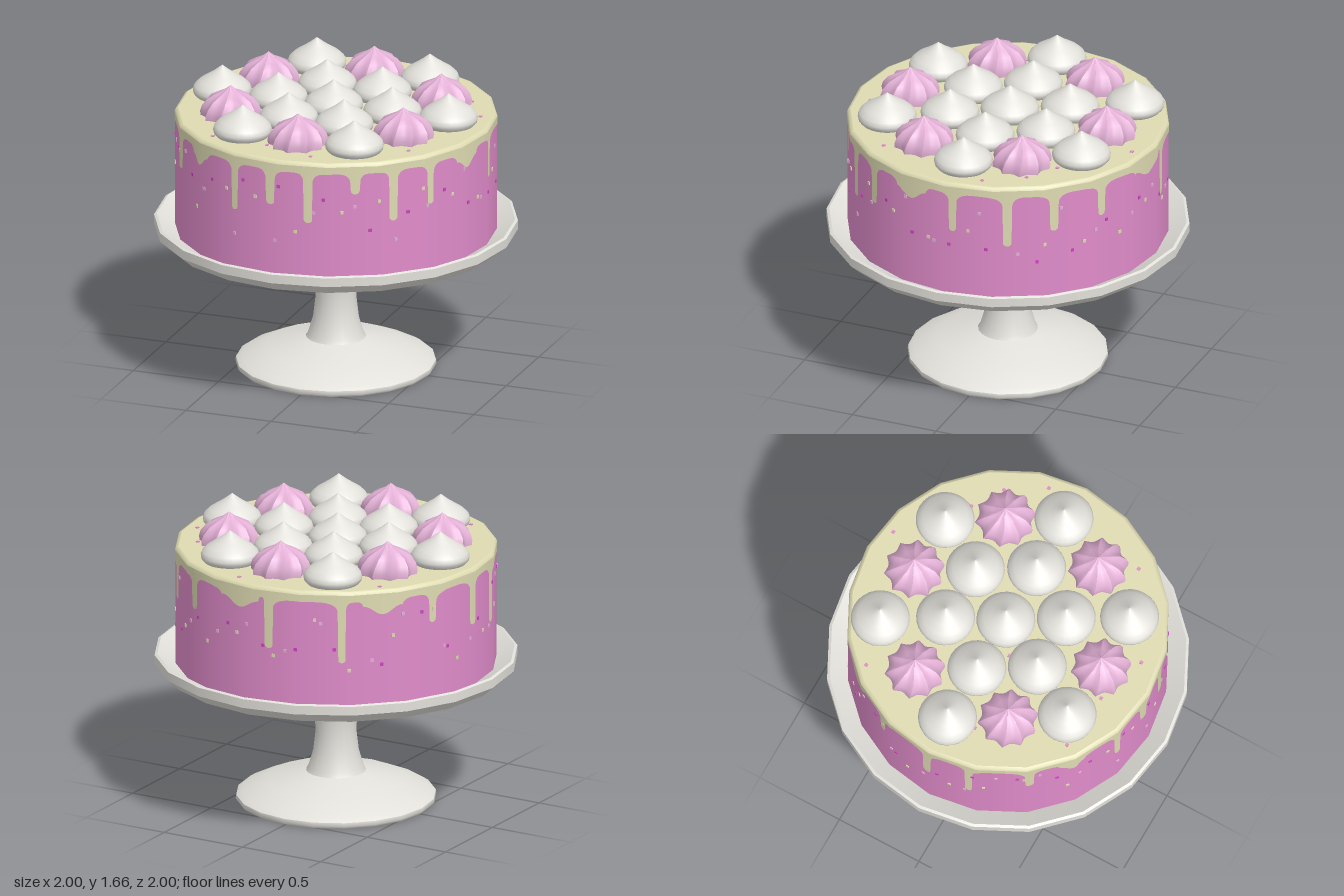
import * as THREE from 'three';
import { toCreasedNormals } from 'three/addons/utils/BufferGeometryUtils.js';

const SIDES = 20, CAKE_R = 0.885, DEG = Math.PI / 180;
const STEP = Math.PI * 2 / SIDES;

const material = (name, color, extra = {}) => Object.assign(new THREE.MeshStandardMaterial({ color, ...extra }), { name });

// Lathe from [radius, height, sharp] points; sharp points are doubled to keep the edge crisp
function lathe(points, segments = SIDES) {
  const profile = [];
  for (const [r, y, sharp] of points) {
    profile.push(new THREE.Vector2(r, y));
    if (sharp) profile.push(new THREE.Vector2(r, y));
  }
  return new THREE.LatheGeometry(profile, segments);
}

// Distance from the axis to the many-sided cake wall at an angle
function wallRadius(angle, r = CAKE_R) {
  const local = ((angle % STEP) + STEP) % STEP - STEP / 2;
  return r * Math.cos(STEP / 2) / Math.cos(local);
}

// Icing drips: angle in degrees, lowest height, half width in degrees
const DRIPS = [
  [10.8, 1.13, 1.6], [27.8, 1.3, 1.7], [42, 1.13, 1.6], [57, 1.19, 1.4], [76, 1.33, 6],
  [93, 1.19, 1.3], [113, 1.12, 1.7], [130, 1.2, 1.6], [149, 1.23, 1.5], [174, 1.34, 8],
  [186, 1.13, 1.6], [213, 1.07, 1.4], [228, 1.34, 7], [248, 1.25, 1.4], [269, 1.16, 1.5],
  [285, 1.1, 1.3], [307, 1.23, 1.5], [323, 1.33, 4.5], [342, 1.15, 1.3], [356.7, 1.22, 1.8],
];

// Lower edge of the icing: round-ended drips joined by arches
function dripEdge(deg) {
  let before = -Infinity, after = Infinity;
  for (const [a, low, w] of DRIPS) {
    for (const turn of [-360, 0, 360]) {
      const d = deg - a - turn;
      if (Math.abs(d) <= w) {
        if (w > 3) return low + 0.025 * (1 - Math.cos(d / w * Math.PI));
        return low + w * DEG * CAKE_R * (1 - Math.sqrt(1 - (d / w) ** 2));
      }
      if (d > 0) before = Math.max(before, a + turn + w);
      else after = Math.min(after, a + turn - w);
    }
  }
  const u = (deg - before) / (after - before) * 2 - 1;
  return 1.36 + 0.06 * Math.sqrt(1 - u ** 4);
}

function dripGeometry() {
  const count = 1440, position = [], normal = [], index = [];
  for (let i = 0; i <= count; i++) {
    const angle = i / count * Math.PI * 2;
    const r = wallRadius(angle, CAKE_R + 0.003), s = Math.sin(angle), c = Math.cos(angle);
    position.push(r * s, dripEdge(i / count * 360), r * c, r * s, 1.46, r * c);
    normal.push(s, 0, c, s, 0, c);
    if (i < count) {
      const a = i * 2;
      index.push(a, a + 2, a + 1, a + 3, a + 1, a + 2);
    }
  }
  const geometry = new THREE.BufferGeometry();
  geometry.setAttribute('position', new THREE.Float32BufferAttribute(position, 3));
  geometry.setAttribute('normal', new THREE.Float32BufferAttribute(normal, 3));
  geometry.setIndex(index);
  return geometry;
}

// Piped star: a dome whose radius is pinched into ten pointed ridges with a slight twist
function starGeometry() {
  const geometry = lathe([[0.165, 0], [0.168, 0.03], [0.157, 0.065], [0.125, 0.105],
    [0.08, 0.13], [0.035, 0.152], [0, 0.18]], 60);
  const p = geometry.attributes.position;
  for (let i = 0; i < p.count; i++) {
    const x = p.getX(i), y = p.getY(i), z = p.getZ(i);
    const angle = Math.atan2(x, z), r = Math.hypot(x, z);
    const pinched = r * (1 - 0.15 * Math.abs(Math.sin(angle * 5)));
    const turned = angle + y * 1.2;
    p.setXYZ(i, pinched * Math.sin(turned), y, pinched * Math.cos(turned));
  }
  return toCreasedNormals(geometry, 0.7);
}

export function createModel() {
  const model = new THREE.Group();
  model.name = 'cakeOnStand';
  const white = material('porcelainWhite', 0xe2e0da);
  const pink = material('spongePink', 0xe08cca);
  const cream = material('icingCream', 0xdedbb2);
  const rose = material('pipingRose', 0xe2b0d5);
  const magenta = material('sprinkleMagenta', 0xcc44c0);

  const add = (name, geometry, mat, parent = model) => {
    const mesh = new THREE.Mesh(geometry, mat);
    mesh.name = name;
    parent.add(mesh);
    return mesh;
  };

  // Stand: foot, waisted stem and dished plate
  add('standFoot', lathe([[0, 0], [0.54, 0, true], [0.553, 0.015], [0.55, 0.035, true],
    [0.52, 0.055], [0.385, 0.115], [0.165, 0.168]]), white);
  add('standStem', lathe([[0.168, 0.16], [0.153, 0.19], [0.126, 0.28], [0.112, 0.4],
    [0.121, 0.52], [0.148, 0.63], [0.21, 0.75]]), white);
  add('plate', lathe([[0, 0.75], [0.94, 0.75, true], [1, 0.805, true], [1, 0.855, true],
    [0.985, 0.862, true], [0.87, 0.8, true], [0, 0.8]]), white);

  // Cake wall, icing cap and drips
  add('cakeSide', lathe([[CAKE_R, 0.8], [CAKE_R, 1.46]]), pink);
  add('icingTop', lathe([[CAKE_R + 0.003, 1.44], [CAKE_R + 0.003, 1.46, true], [0.882, 1.474],
    [0.868, 1.48, true], [0, 1.48]]), cream);
  add('icingDrips', dripGeometry(), cream);

  // Piped kisses and stars on top
  const kiss = lathe([[0.14, 0], [0.158, 0.02], [0.162, 0.04], [0.153, 0.065], [0.125, 0.092],
    [0.085, 0.118], [0.045, 0.145], [0.02, 0.165], [0, 0.18]], 28);
  const kissSpots = [[-0.345, -0.61], [0.33, -0.58], [-0.165, -0.3], [0.16, -0.295],
    [-0.67, -0.005], [-0.34, -0.005], [-0.015, -0.005], [0.33, -0.005], [0.655, -0.015],
    [-0.17, 0.28], [0.155, 0.28], [-0.335, 0.56], [0.33, 0.58]];
  for (const [x, z] of kissSpots) add('whiteMeringue', kiss, white).position.set(x, 1.477, z);

  const star = starGeometry();
  const starSpots = [[0, -0.59], [-0.51, -0.3], [0.505, -0.3], [-0.51, 0.285], [0.505, 0.285], [0, 0.585]];
  for (const [x, z] of starSpots) add('pinkStar', star, rose).position.set(x, 1.477, z);

  // Sprinkles scattered around the wall and over the top
  let seed = 7;
  const random = () => (seed = (seed * 16807) % 2147483647) / 2147483647;
  const sprinkles = new THREE.Group();
  sprinkles.name = 'sprinkles';
  model.add(sprinkles);
  const chip = new THREE.BoxGeometry(0.018, 0.018, 0.008);
  const chipColours = [magenta, cream, rose];
  const total = 72;
  for (let i = 0; i < total; i++) {
    const angle = (i + random() * 0.8) / total * Math.PI * 2;
    const r = wallRadius(angle, CAKE_R + 0.001);
    const mesh = add('sideSprinkle', chip, chipColours[i % 3], sprinkles);
    mesh.position.set(r * Math.sin(angle), 1 + 0.36 * random(), r * Math.cos(angle));
    mesh.rotation.y = (Math.floor(angle / STEP) + 0.5) * STEP;
  }
  const topSpots = [[0.14, -0.8], [-0.61, -0.55], [0.48, -0.5], [0.65, -0.39], [0.78, -0.18],
    [-0.18, 0.11], [-0.64, 0.15], [0.61, 0.48], [-0.48, 0.64], [-0.15, 0.67], [0.14, 0.76]];
  for (const [x, z] of topSpots) {
    const mesh = add('topSprinkle', chip, pink, sprinkles);
    mesh.position.set(x, 1.481, z);
    mesh.rotation.x = -Math.PI / 2;
  }
  return model;
}
